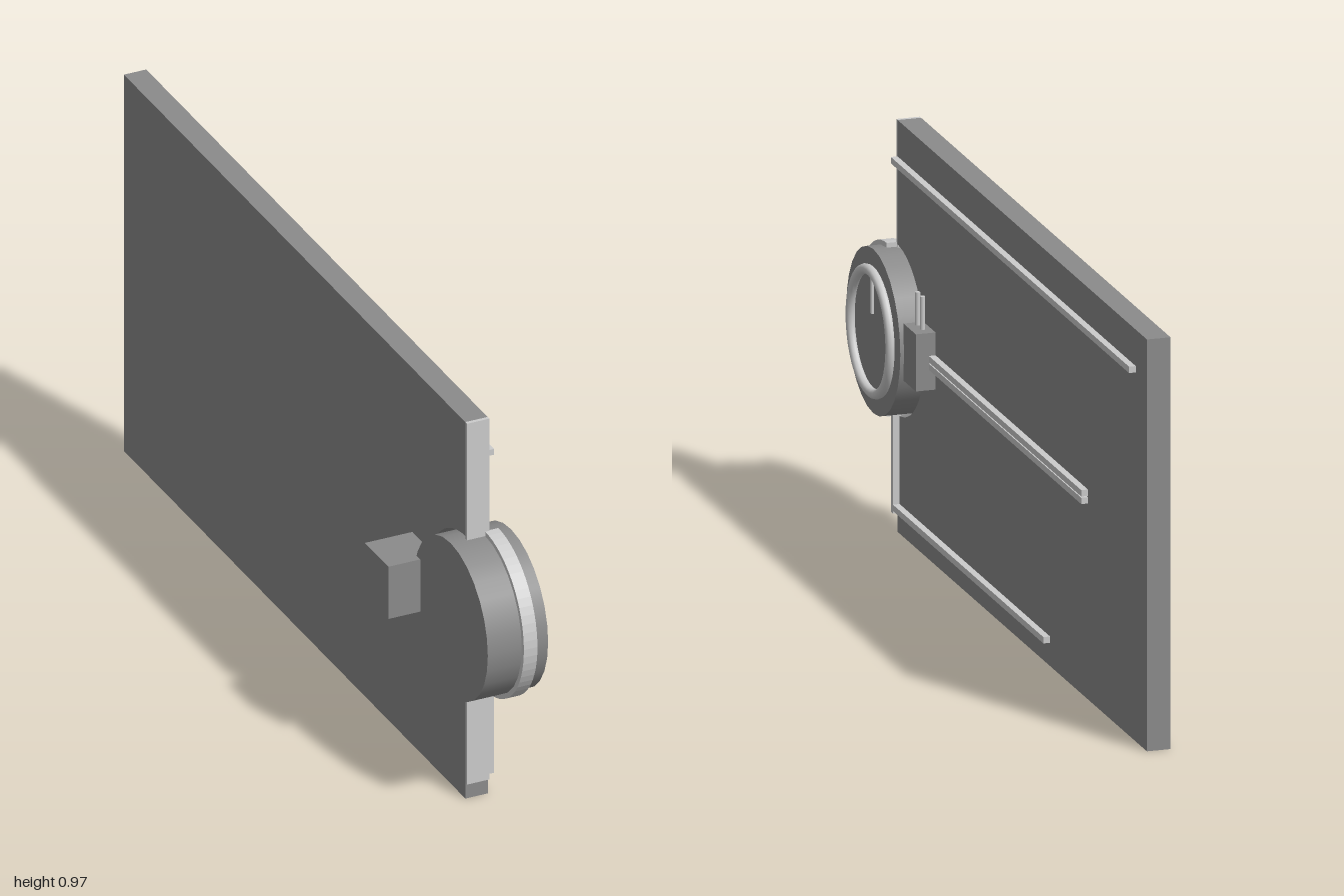
import * as THREE from 'three';

const CY = 0.478, CZ = 0.795; // drum centre

export function createModel() {
  const model = new THREE.Group();
  const dark = new THREE.MeshStandardMaterial({ color: 0x8b8b8b });
  const light = new THREE.MeshStandardMaterial({ color: 0xc0c0c0 });

  const add = (name, geometry, material) => {
    const mesh = new THREE.Mesh(geometry, material);
    mesh.name = name;
    model.add(mesh);
    return mesh;
  };
  // box given by its limits on each axis
  const box = (name, material, x0, x1, y0, y1, z0, z1) =>
    add(name, new THREE.BoxGeometry(x1 - x0, y1 - y0, z1 - z0), material)
      .position.set((x0 + x1) / 2, (y0 + y1) / 2, (z0 + z1) / 2);
  // side profile drawn as (-z, y), extruded along x
  const plate = (name, material, shape, x0, x1) => {
    const g = new THREE.ExtrudeGeometry(shape, { depth: x1 - x0, bevelEnabled: false, curveSegments: 16 });
    add(name, g.rotateY(Math.PI / 2).translate(x0, 0, 0), material);
  };

  // large panel with a round bite for the drum
  const bite = Math.acos(0.005 / 0.201);
  const panel = new THREE.Shape();
  panel.moveTo(1, 0);
  panel.lineTo(1, 0.973);
  panel.lineTo(-0.79, 0.973);
  panel.absarc(-CZ, CY, 0.201, bite, -bite, true);
  panel.lineTo(-0.79, 0);
  panel.closePath();
  plate('panel', dark, panel, -0.006, 0.05);

  // light trim on the front edge, above and below the drum
  box('upperEdgeTrim', light, -0.006, 0.05, 0.67, 0.973, 0.789, 0.798);
  box('lowerEdgeTrim', light, -0.006, 0.05, 0.04, 0.286, 0.789, 0.798);

  // drum, with its axis along x
  const drum = new THREE.CylinderGeometry(0.194, 0.194, 0.151, 28);
  add('drum', drum.rotateZ(-Math.PI / 2), dark).position.set(0.0305, CY, CZ);

  // half band around the exposed side of the drum
  const band = new THREE.Shape();
  band.absarc(-CZ, CY, 0.205, Math.PI / 2, Math.PI * 1.5, false);
  band.absarc(-CZ, CY, 0.188, Math.PI * 1.5, Math.PI / 2, true);
  band.closePath();
  plate('drumBand', light, band, 0.04, 0.074);

  // dial rim and pointer
  add('dialRim', new THREE.TorusGeometry(0.143, 0.012, 10, 40).rotateY(Math.PI / 2), light)
    .position.set(0.112, CY, CZ);
  box('dialPointer', light, 0.1, 0.112, 0.52, 0.61, CZ - 0.005, CZ + 0.005);

  // connector with two pins, and the block behind the panel
  box('connector', dark, 0.045, 0.097, 0.415, 0.55, 0.517, 0.605);
  for (const z of [0.55, 0.585]) {
    add('connectorPin', new THREE.CylinderGeometry(0.006, 0.006, 0.09, 10), light).position.set(0.07, 0.583, z);
  }
  box('rearBlock', dark, -0.125, -0.004, 0.415, 0.55, 0.512, 0.635);

  // raised strips on the panel face
  box('topRail', light, 0.045, 0.066, 0.872, 0.887, -0.92, 0.79);
  box('bottomRail', light, 0.045, 0.066, 0.055, 0.07, -0.305, 0.785);
  box('uprightRail', light, 0.045, 0.066, 0.049, 0.285, 0.775, 0.789);
  for (const y of [0.463, 0.481]) box('middleRail', light, 0.045, 0.066, y, y + 0.015, -0.577, 0.53);

  return model;
}
